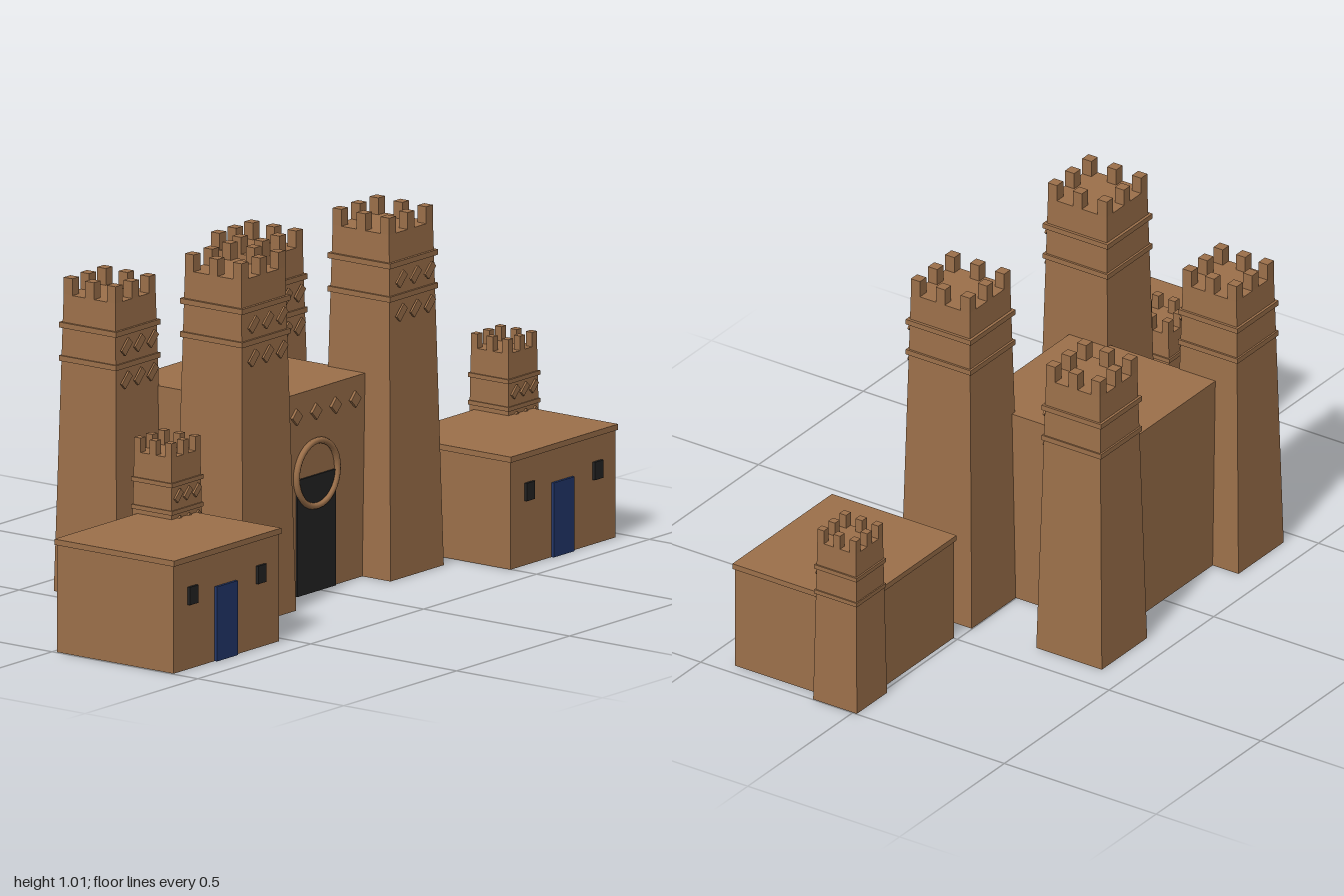
import * as THREE from 'three';

const material = (name, color) => {
  const m = new THREE.MeshStandardMaterial({ color });
  m.name = name;
  return m;
};

export function createModel() {
  const clay = material('clay brown', 0x9c704a);
  const blue = material('door blue', 0x22376b);
  const dark = material('opening black', 0x232323);
  const model = new THREE.Group();
  model.name = 'fortress';

  const add = (parent, name, geometry, mat, x, y, z) => {
    const mesh = new THREE.Mesh(geometry, mat);
    mesh.name = name;
    mesh.position.set(x, y, z);
    parent.add(mesh);
    return mesh;
  };
  // Box standing on height y
  const box = (parent, name, w, h, d, x, y, z, mat = clay) =>
    add(parent, name, new THREE.BoxGeometry(w, h, d), mat, x, y + h / 2, z);

  // Square shaft, narrower at the top
  const taperedShaft = (bottom, top, height) => {
    const g = new THREE.BoxGeometry(2, height, 2);
    const p = g.attributes.position;
    for (let i = 0; i < p.count; i++) {
      const half = p.getY(i) > 0 ? top : bottom;
      p.setX(i, p.getX(i) * half);
      p.setZ(i, p.getZ(i) * half);
    }
    g.computeVertexNormals();
    return g;
  };

  // Tower with two bands, eight merlons and two rows of slanted ornaments
  const tower = (name, x, z, s) => {
    const t = new THREE.Group();
    t.name = name;
    t.position.set(x, 0, z);
    model.add(t);
    add(t, 'shaft', taperedShaft(s.bottom, s.top, s.height), clay, 0, s.height / 2, 0);
    for (const y of s.bands) {
      box(t, 'band', s.band * 2, s.bandHeight, s.band * 2, 0, y - s.bandHeight / 2, 0);
    }
    const edge = s.top - s.merlon / 2;
    for (const i of [-1, 0, 1]) {
      for (const k of [-1, 0, 1]) {
        if (i || k) box(t, 'merlon', s.merlon, s.merlonHeight, s.merlon, i * edge, s.height, k * edge);
      }
    }
    for (const y of s.rows) {
      for (const i of [-1, 0, 1]) {
        const plate = add(t, 'slantedOrnament',
          new THREE.BoxGeometry(s.plate, s.plate * 0.5, 0.006), clay, i * s.spacing, y, s.plateZ);
        plate.rotation.z = Math.PI / 4;
      }
    }
  };

  const frontSize = {
    bottom: 0.118, top: 0.097, height: 0.96, merlon: 0.03, merlonHeight: 0.047,
    bands: [0.875, 0.782], band: 0.107, bandHeight: 0.015,
    rows: [0.834, 0.74], plate: 0.045, spacing: 0.063, plateZ: 0.113,
  };
  const backSize = {
    bottom: 0.108, top: 0.089, height: 0.828, merlon: 0.03, merlonHeight: 0.047,
    bands: [0.743, 0.65], band: 0.098, bandHeight: 0.015,
    rows: [0.704, 0.611], plate: 0.045, spacing: 0.058, plateZ: 0.103,
  };
  const smallSize = {
    bottom: 0.072, top: 0.064, height: 0.487, merlon: 0.022, merlonHeight: 0.04,
    bands: [0.411, 0.334], band: 0.07, bandHeight: 0.012,
    rows: [0.379, 0.304], plate: 0.035, spacing: 0.041, plateZ: 0.071,
  };

  // Main keep
  const cx = -0.017;
  box(model, 'keep', 0.47, 0.565, 0.475, cx, 0, -0.0965);
  box(model, 'gateOpening', 0.17, 0.325, 0.008, cx, 0, 0.143, dark);
  add(model, 'gateRing', new THREE.TorusGeometry(0.091, 0.009, 8, 32), clay, cx, 0.33, 0.148);
  for (let i = -2; i <= 2; i++) {
    const d = add(model, 'diamondOrnament', new THREE.BoxGeometry(0.032, 0.032, 0.009),
      clay, cx + i * 0.0865, 0.502, 0.1445);
    d.rotation.z = Math.PI / 4;
  }

  // Four corner towers
  for (const side of [-1, 1]) {
    const label = side > 0 ? 'left' : 'right';
    tower(label + 'FrontTower', cx + side * 0.327, 0.12, frontSize);
    tower(label + 'BackTower', cx + side * 0.326, -0.311, backSize);
  }

  // Two matching side houses, each with a small tower
  for (const x of [-0.762, 0.73]) {
    const h = new THREE.Group();
    h.name = x > 0 ? 'leftHouse' : 'rightHouse';
    h.position.x = x;
    model.add(h);
    box(h, 'walls', 0.466, 0.3, 0.4, 0, 0, 0.213);
    box(h, 'roof', 0.476, 0.016, 0.41, 0, 0.3, 0.213);
    box(h, 'door', 0.092, 0.208, 0.008, -0.005, 0, 0.417, blue);
    for (const i of [-1, 1]) {
      box(h, 'window', 0.037, 0.05, 0.008, -0.001 + i * 0.151, 0.18, 0.417, dark);
    }
    tower(x > 0 ? 'leftSmallTower' : 'rightSmallTower', x + 0.196, 0.059, smallSize);
  }
  return model;
}
